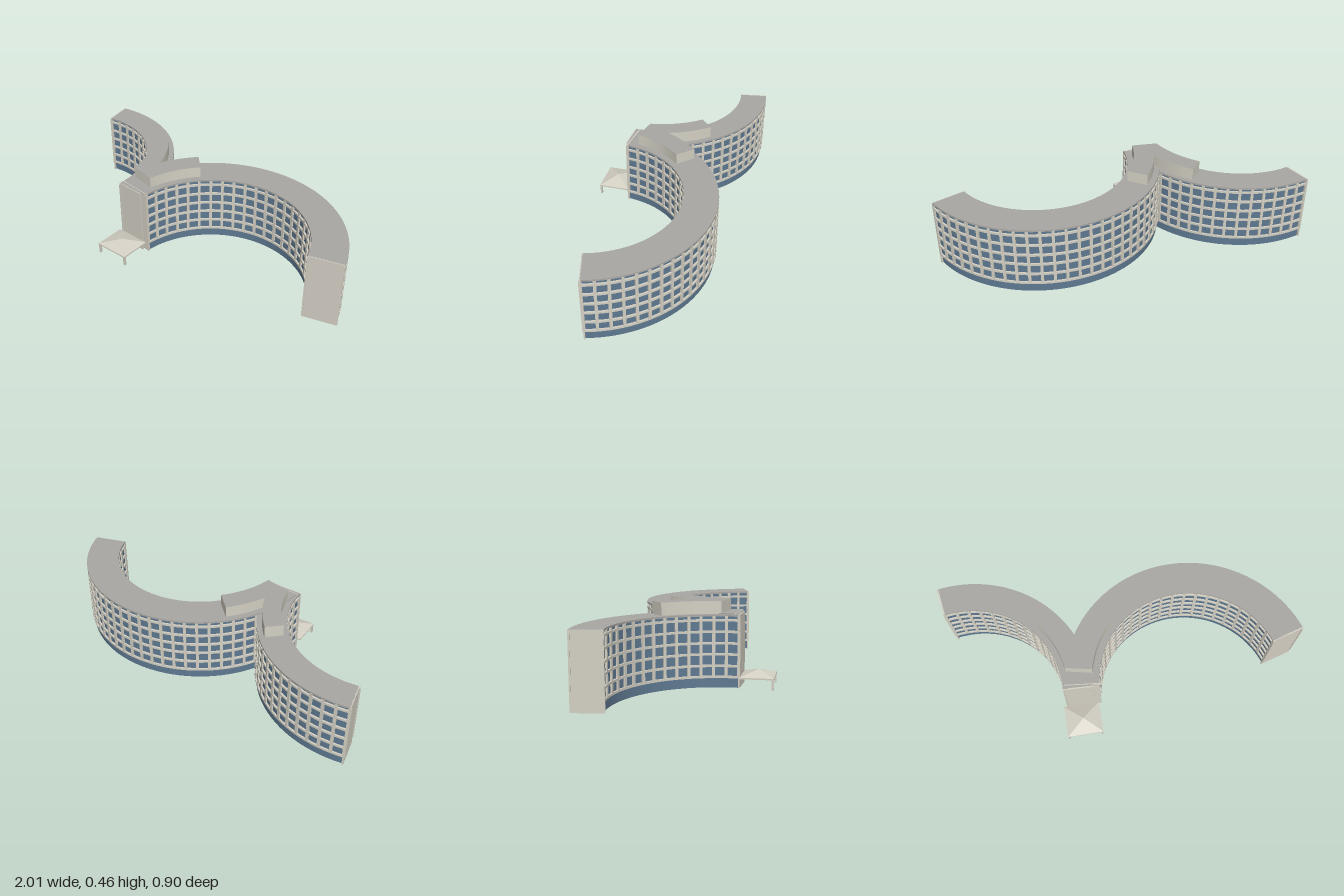
import * as THREE from 'three';
import { toCreasedNormals } from 'three/addons/utils/BufferGeometryUtils.js';

const rad = THREE.MathUtils.degToRad;
const wall = new THREE.MeshStandardMaterial({ color: 0xd4d0c4, side: THREE.DoubleSide });
const roofGrey = new THREE.MeshStandardMaterial({ color: 0xaaa8a4 });
const glass = new THREE.MeshStandardMaterial({ color: 0x5f7a92, side: THREE.DoubleSide });

const BANDS = [0.058, 0.117, 0.179, 0.238, 0.299, 0.36]; // floor line heights
const GRID = 0.01; // depth of the facade grid
const BAY = 0.066; // window pitch along the wall

function add(parent, name, geometry, material) {
  const mesh = new THREE.Mesh(geometry, material);
  mesh.name = name;
  parent.add(mesh);
  return mesh;
}

// Curved bar of rectangular section; angles in degrees, 0 = +z, 90 = +x
function arcBar(r0, r1, y0, y1, a0, a1) {
  const profile = [[r0, y0], [r1, y0], [r1, y1], [r0, y1], [r0, y0]].map(p => new THREE.Vector2(...p));
  return toCreasedNormals(new THREE.LatheGeometry(profile, 48, rad(a0), rad(a1 - a0)), 0.6);
}

// Curved glazing with floor bands and mullions over the exposed angles
function facade(parent, name, r0, r1, rGlass, span, shown, top) {
  const group = new THREE.Group();
  group.name = name;
  parent.add(group);
  const line = [new THREE.Vector2(rGlass, 0), new THREE.Vector2(rGlass, top)];
  add(group, 'glazing', new THREE.LatheGeometry(line, 64, rad(span[0]), rad(span[1] - span[0])), glass);
  for (const y of BANDS) add(group, 'floorBand', arcBar(r0, r1, y - 0.006, y + 0.006, ...shown), wall);
  const rm = (r0 + r1) / 2;
  const bays = Math.round(rad(shown[1] - shown[0]) * rm / BAY);
  const post = new THREE.BoxGeometry(0.016, top - 0.052, r1 - r0 - 0.001);
  for (let i = 0; i <= bays; i++) {
    const a = rad(shown[0] + (shown[1] - shown[0]) * i / bays);
    const mullion = add(group, 'mullion', post, wall);
    mullion.position.set(rm * Math.sin(a), (top + 0.052) / 2, rm * Math.cos(a));
    mullion.rotation.y = a;
  }
}

function wing(parent, { name, x, z, inner, outer, span, shown, top }) {
  const group = new THREE.Group();
  group.name = name;
  group.position.set(x, 0, z);
  parent.add(group);
  facade(group, 'innerFacade', inner, inner + GRID, inner + GRID, span, span, top - 0.008);
  facade(group, 'outerFacade', outer - GRID, outer, outer - GRID, span, shown, top - 0.008);
  add(group, 'roof', arcBar(inner + 0.001, outer - 0.001, top - 0.01, top, ...span), roofGrey);
  // Solid walls closing both ends
  for (const deg of span) {
    const a = rad(deg), rm = (inner + outer) / 2;
    const end = add(group, 'endWall', new THREE.BoxGeometry(0.008, top, outer - inner), wall);
    end.position.set(rm * Math.sin(a), top / 2, rm * Math.cos(a));
    end.rotation.y = a;
  }
}

export function createModel() {
  const model = new THREE.Group();
  model.name = 'curvedBuilding';

  const left = { name: 'westWing', x: -0.895, z: 0.233, inner: 0.52, outer: 0.686, span: [87, 188.9], shown: [114.4, 188.9], top: 0.39 };
  const right = { name: 'eastWing', x: 0.33, z: 0.31, inner: 0.505, outer: 0.697, span: [105.8, 264], shown: [105.8, 239], top: 0.395 };
  wing(model, left);
  wing(model, right);

  // Forked rooftop storey following both wings
  const outline = [];
  const arc = (w, r, a0, a1) => {
    for (let i = 0; i <= 12; i++) {
      const a = rad(a0 + (a1 - a0) * i / 12);
      outline.push(new THREE.Vector2(w.x + r * Math.sin(a), -(w.z + r * Math.cos(a))));
    }
  };
  arc(left, 0.554, 97.3, 131);
  arc(left, 0.656, 131, 107.6);
  arc(right, 0.661, 245.2, 225);
  arc(right, 0.543, 225, 257.7);
  const storey = new THREE.ExtrudeGeometry(new THREE.Shape(outline), { depth: 0.073, bevelEnabled: false });
  storey.rotateX(-Math.PI / 2);
  add(model, 'rooftopStorey', storey, [roofGrey, wall]).position.y = 0.385;

  // Entrance canopy: slab, hipped roof and two front posts
  const canopy = new THREE.Group();
  canopy.name = 'entranceCanopy';
  canopy.position.set(-0.291, 0, 0.358);
  model.add(canopy);
  add(canopy, 'canopySlab', new THREE.BoxGeometry(0.206, 0.008, 0.18), wall).position.y = 0.057;
  const hip = new THREE.ConeGeometry(Math.SQRT1_2, 1, 4).rotateY(Math.PI / 4).toNonIndexed();
  hip.scale(0.206, 0.03, 0.18);
  hip.computeVertexNormals();
  add(canopy, 'canopyRoof', hip, wall).position.y = 0.076;
  for (const s of [-1, 1]) {
    add(canopy, 'canopyPost', new THREE.BoxGeometry(0.012, 0.054, 0.012), wall).position.set(s * 0.096, 0.027, 0.083);
  }
  return model;
}
